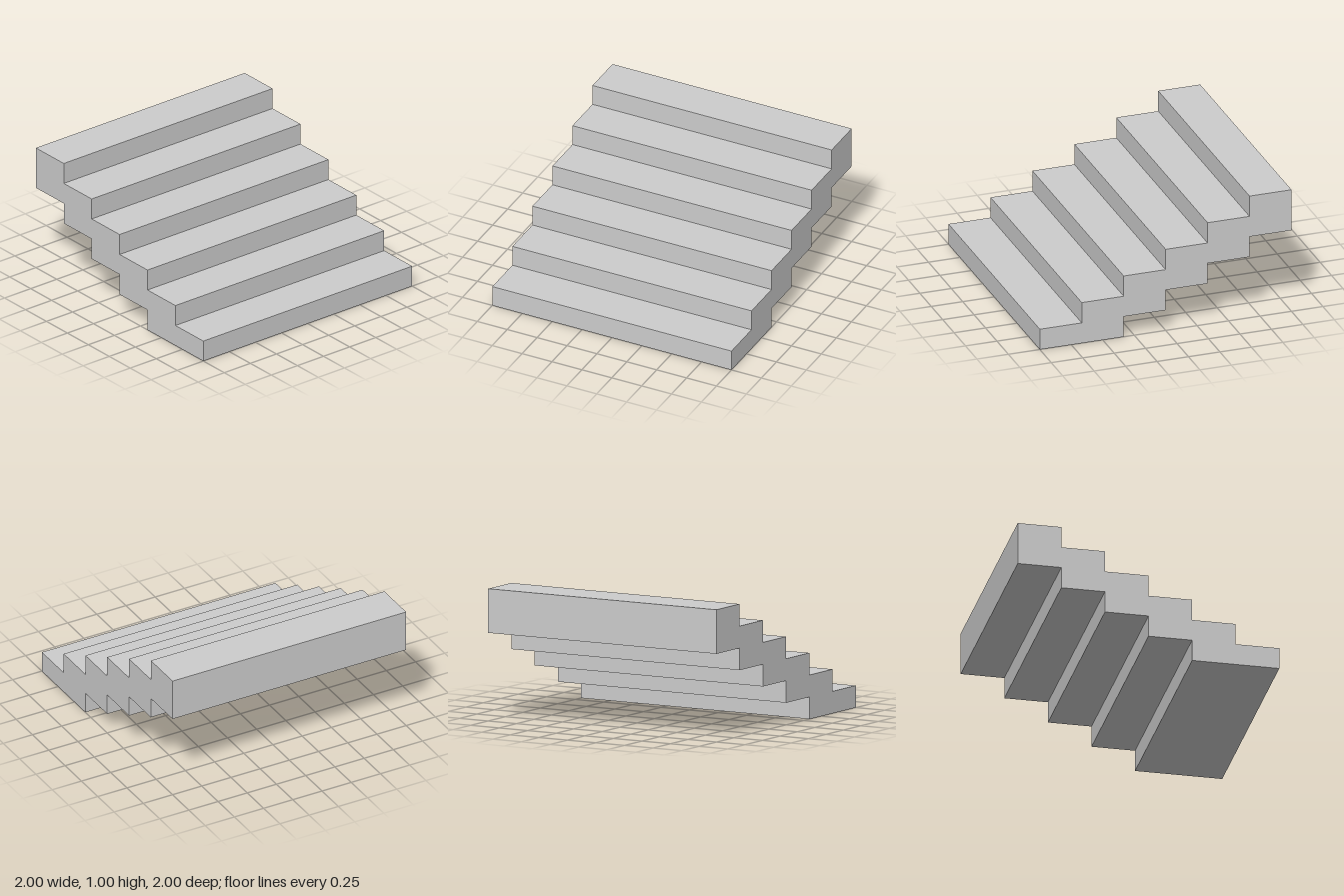
import * as THREE from 'three';

const STEPS = 6;
const WIDTH = 2;
const TREAD = 2 / STEPS;
const RISE = 1 / STEPS;

// Side profile of the flight: shape x becomes model z, shape y is height
function stairProfile() {
  const points = [new THREE.Vector2(1, 0)];
  const edge = (i) => 1 - i * TREAD;
  // Risers and treads, climbing towards the back
  for (let i = 0; i < STEPS; i++) {
    const top = (i + 1) * RISE;
    points.push(new THREE.Vector2(edge(i), top), new THREE.Vector2(edge(i + 1), top));
  }
  // Stepped underside, back down to the floor; the lowest two steps share a flat base
  for (let i = STEPS - 1; i >= 2; i--) {
    const bottom = (i - 1) * RISE;
    points.push(new THREE.Vector2(edge(i + 1), bottom), new THREE.Vector2(edge(i), bottom));
  }
  points.push(new THREE.Vector2(edge(2), 0));
  return new THREE.Shape(points);
}

export function createModel() {
  const group = new THREE.Group();
  group.name = 'staircase';

  const stone = new THREE.MeshStandardMaterial({ color: 0xcccccc });
  stone.name = 'light grey';

  // One solid flight, extruded across the full width
  const geometry = new THREE.ExtrudeGeometry(stairProfile(), { depth: WIDTH, bevelEnabled: false });
  geometry.translate(0, 0, -WIDTH / 2);
  geometry.rotateY(-Math.PI / 2);

  const flight = new THREE.Mesh(geometry, stone);
  flight.name = 'stairFlight';
  group.add(flight);
  return group;
}
